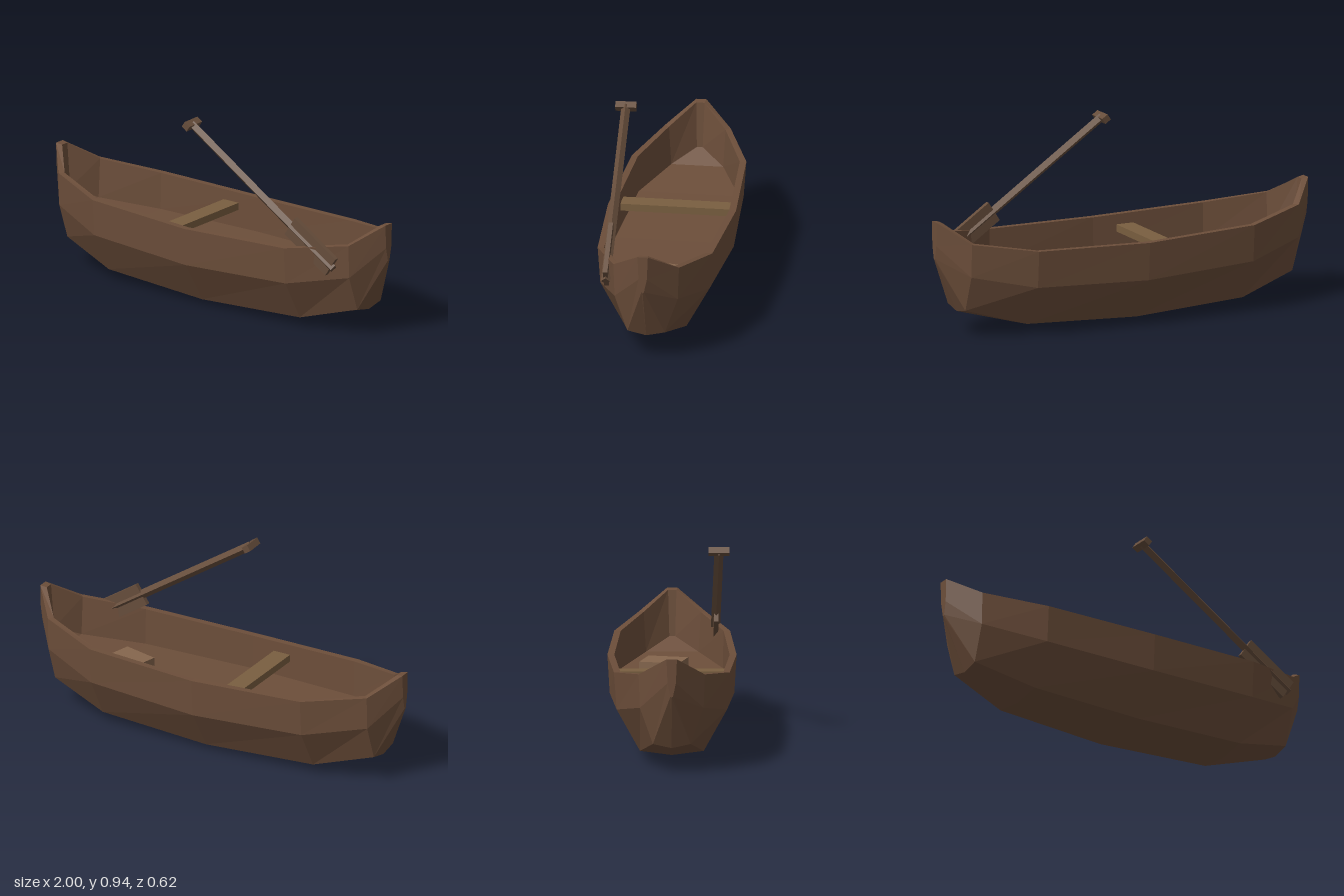
import * as THREE from 'three';

const material = (color) => new THREE.MeshStandardMaterial({ color, flatShading: true });

function addMesh(parent, name, geometry, mat, x = 0, y = 0, z = 0) {
  const mesh = new THREE.Mesh(geometry, mat);
  mesh.name = name;
  mesh.position.set(x, y, z);
  parent.add(mesh);
  return mesh;
}

// Half sections from midship to stem, each [x, y, z]:
// keel, bilge, chine, outer gunwale, inner gunwale, floor edge
const halfStations = [
  [[0, 0, 0], [0, 0.025, 0.17], [0, 0.23, 0.297], [0, 0.415, 0.308], [0, 0.415, 0.275], [0, 0.245, 0.273]],
  [[0.58, 0.03, 0], [0.58, 0.05, 0.152], [0.58, 0.25, 0.263], [0.58, 0.43, 0.276], [0.575, 0.43, 0.245], [0.575, 0.25, 0.241]],
  [[0.88, 0.115, 0], [0.88, 0.135, 0.09], [0.88, 0.31, 0.152], [0.88, 0.472, 0.158], [0.86, 0.472, 0.136], [0.86, 0.28, 0.125]],
  [[1, 0.38, 0], [1, 0.385, 0.006], [1, 0.45, 0.02], [1, 0.565, 0.025], [0.967, 0.56, 0.02], [0.945, 0.34, 0.014]],
];

function hullGeometry() {
  const flipX = (section) => section.map(([x, y, z]) => [-x, y, z]);
  const stations = [...halfStations.slice(1).reverse().map(flipX), ...halfStations];
  const positions = [];
  const quad = (a, b, c, d) => positions.push(...a, ...b, ...c, ...a, ...c, ...d);
  const port = ([x, y, z]) => [x, y, -z];
  const last = halfStations[0].length - 1;

  // Planks, rim and inner walls on both sides, then the floor between them
  for (let i = 0; i < stations.length - 1; i++) {
    const s = stations[i], t = stations[i + 1];
    for (let k = 0; k < last; k++) {
      quad(s[k], t[k], t[k + 1], s[k + 1]);
      quad(port(s[k + 1]), port(t[k + 1]), port(t[k]), port(s[k]));
    }
    quad(s[last], t[last], port(t[last]), port(s[last]));
  }

  // Narrow stem strips closing both ends
  const bow = stations[stations.length - 1], stern = stations[0];
  for (let k = 0; k < last; k++) {
    quad(bow[k], port(bow[k]), port(bow[k + 1]), bow[k + 1]);
    quad(stern[k + 1], port(stern[k + 1]), port(stern[k]), stern[k]);
  }

  const geometry = new THREE.BufferGeometry();
  geometry.setAttribute('position', new THREE.Float32BufferAttribute(positions, 3));
  geometry.computeVertexNormals();
  return geometry;
}

function createPaddle() {
  const paddle = new THREE.Group();
  paddle.name = 'paddle';
  const wood = material(0x664d3b);
  // Four-sided shaft running along local x from the grip
  const shaft = new THREE.CylinderGeometry(0.022, 0.022, 1.01, 4).rotateZ(Math.PI / 2);
  addMesh(paddle, 'paddleShaft', shaft, wood, 0.505);
  addMesh(paddle, 'paddleGrip', new THREE.BoxGeometry(0.035, 0.032, 0.1), wood);
  addMesh(paddle, 'paddleBlade', new THREE.BoxGeometry(0.29, 0.11, 0.022), wood, 0.853);
  paddle.rotation.set(0, 0.024, -0.584, 'YZX');
  paddle.position.set(-0.018, 0.916, 0.224);
  return paddle;
}

export function createModel() {
  const boat = new THREE.Group();
  boat.name = 'rowingBoat';

  addMesh(boat, 'hull', hullGeometry(), material(0x6c4e3a));

  // Bench across the hull
  addMesh(boat, 'bench', new THREE.BoxGeometry(0.09, 0.035, 0.53), material(0x7a5f40), -0.165, 0.352, 0);

  // Low box lying askew on the floor
  const box = addMesh(boat, 'floorBox', new THREE.BoxGeometry(0.18, 0.06, 0.195), material(0x85664d), 0.515, 0.272, -0.04);
  box.rotation.y = -0.25;

  boat.add(createPaddle());
  return boat;
}
